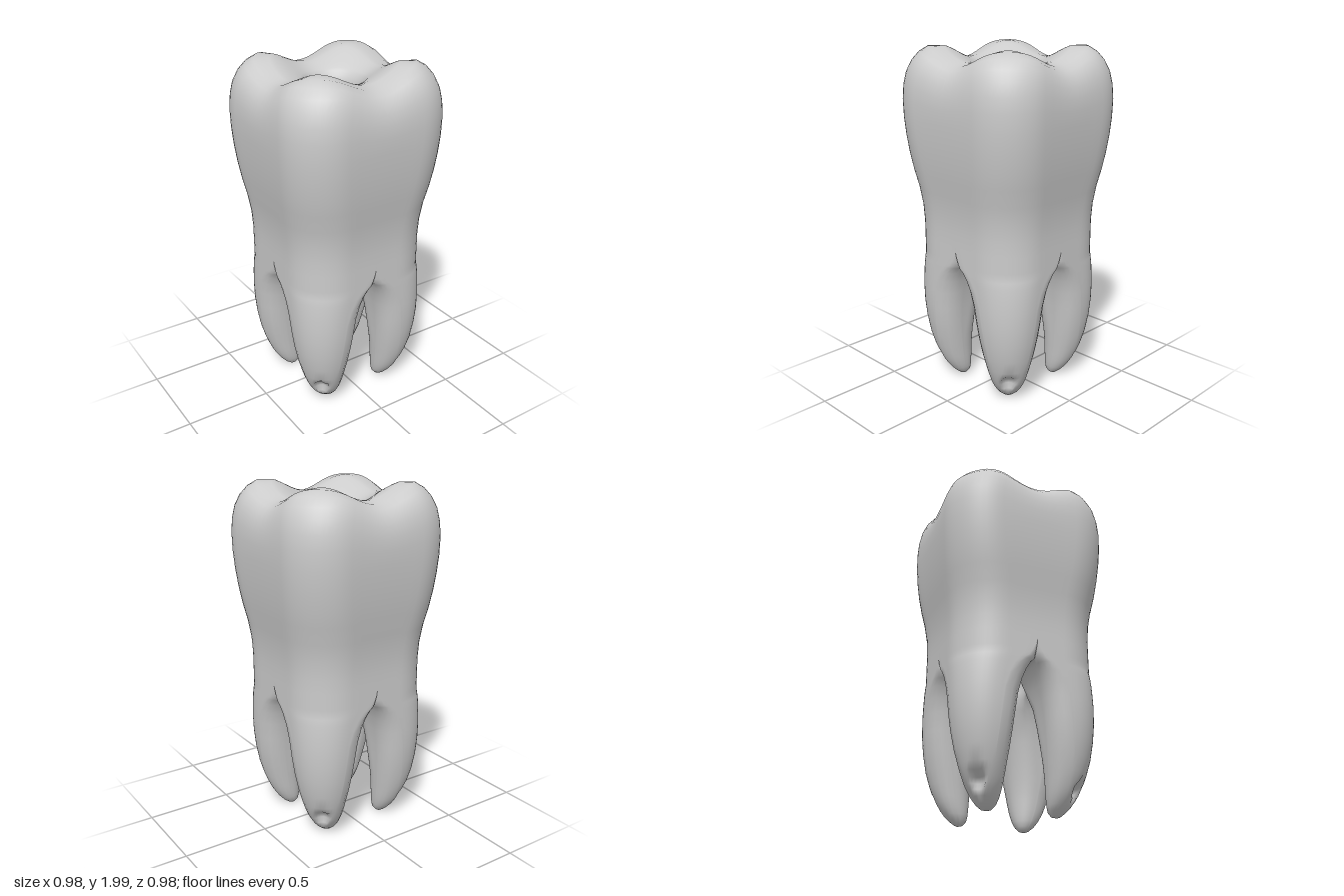
import * as THREE from 'three';
import { mergeVertices } from 'three/addons/utils/BufferGeometryUtils.js';

const HOLE = 0.135, ARCH = 0.8;
const clamp = THREE.MathUtils.clamp, lerp = THREE.MathUtils.lerp;

// Sections from root tip to cusps: height, half gap between roots, half width, lip rounding
const SECTIONS = [
  [0, 0.2, 0.2, 0], [0.008, 0.17, 0.222, 0.1], [0.03, 0.152, 0.25, 0.1], [0.06, 0.143, 0.277, 0.1],
  [0.09, 0.138, 0.297, 0.1], [0.12, 0.134, 0.315, 0.1], [0.15, 0.131, 0.328, 0.1], [0.18, 0.128, 0.341, 0.1],
  [0.22, 0.124, 0.355, 0.1], [0.3, 0.115, 0.378, 0.1], [0.4, 0.105, 0.396, 0.1], [0.5, 0.094, 0.407, 0.1],
  [0.6, 0.08, 0.412, 0.1], [0.68, 0.061, 0.413, 0.09], [0.74, 0.04, 0.414, 0.075], [0.78, 0.018, 0.414, 0.06],
  [0.8, 0, 0.414, 0.05], [0.83, 0, 0.414, 0.03], [0.87, 0, 0.414, 0.008], [0.92, 0, 0.414, 0],
  [1.0, 0, 0.414, 0], [1.1, 0, 0.42, 0], [1.2, 0, 0.435, 0], [1.3, 0, 0.454, 0], [1.4, 0, 0.469, 0],
  [1.5, 0, 0.48, 0], [1.6, 0, 0.487, 0], [1.7, 0, 0.489, 0], [1.78, 0, 0.484, 0], [1.85, 0, 0.472, 0],
  [1.91, 0, 0.45, 0], [1.955, 0, 0.418, 0], [1.985, 0, 0.375, 0], [2.0, 0, 0.3, 0],
];

// Grooves crossing the chewing surface between the four cusps
const bell = (v) => 0.045 * (1 + Math.cos(Math.PI * Math.min(Math.abs(v) / 0.3, 1)));
const groove = (x, z) => bell(x) + bell(z);

// Outer outline of one quarter, from the x side round to the z side
function outerRow([y, g, b, lip]) {
  const w = b - g, R = Math.min(0.26, 0.6 * w), l = Math.min(lip, 0.4 * w);
  const pts = [];
  const arc = (cx, cz, r, from, n) => {
    for (let i = 0; i <= n; i++) {
      const a = from + (i / n) * Math.PI / 2;
      pts.push([cx + r * Math.cos(a), cz + r * Math.sin(a)]);
    }
  };
  const line = (x0, z0, x1, z1) => {
    for (const t of [0.25, 0.5, 0.75]) pts.push([lerp(x0, x1, t), lerp(z0, z1, t)]);
  };
  arc(b - l, g + l, l, -Math.PI / 2, 4);
  line(b, g + l, b, b - R);
  arc(b - R, b - R, R, 0, 12);
  line(b - R, b, g + l, b);
  arc(g + l, b - l, l, Math.PI / 2, 4);
  return pts.map(([x, z]) => {
    const weight = clamp((y - 1.6) / 0.4, 0, 1);
    // Small pit on the outer corner near each root tip
    const d = Math.hypot((x - 0.28) / 0.05, (y - 0.15) / 0.075, (z - 0.28) / 0.05);
    const dent = 0.04 * Math.max(0, 1 - d * d);
    return new THREE.Vector3(x - dent, y - weight * groove(x, z), z - dent);
  });
}

const TOP = outerRow(SECTIONS[SECTIONS.length - 1]);
const ANGLES = TOP.map((p) => Math.atan2(p.z, p.x));

// Inner outline: the hole wall, turning into the inward corner of a root
function innerRow([y, g, b]) {
  const w = b - g, rc = Math.min(0.13, 0.5 * w), k = clamp((y - 0.62) / 0.18, 0, 1);
  return ANGLES.map((a) => new THREE.Vector3(
    lerp(g + rc * (1 - Math.sin(a)), Math.max(HOLE * Math.cos(a), g), k),
    y,
    lerp(g + rc * (1 - Math.cos(a)), Math.max(HOLE * Math.sin(a), g), k)));
}

function createQuarter(out) {
  const strip = (rows) => {
    for (let i = 0; i < rows.length - 1; i++) {
      for (let j = 0; j < rows[i].length - 1; j++) {
        const a = rows[i][j], b = rows[i + 1][j], c = rows[i][j + 1], d = rows[i + 1][j + 1];
        for (const tri of [[a, b, c], [b, d, c]]) {
          const area = new THREE.Triangle(...tri).getArea();
          if (area > 1e-8) for (const p of tri) out.push(p.x, p.y, p.z);
        }
      }
    }
  };
  const outer = SECTIONS.map(outerRow), inner = SECTIONS.map(innerRow);

  // Chewing surface closing in on the hole, then the rounded rim
  const ring = (r, drop) => ANGLES.map((a) => {
    const x = r * Math.cos(a), z = r * Math.sin(a);
    return new THREE.Vector3(x, 2 - groove(x, z) - drop, z);
  });
  const rim = ring(0.18, 0);
  const cap = [0.2, 0.4, 0.6, 0.8].map((t) => TOP.map((p, j) => {
    const q = p.clone().lerp(rim[j], t);
    return q.setY(2 - groove(q.x, q.z));
  }));
  const roll = [[0.167, 0.006], [0.153, 0.02], [0.142, 0.04], [0.136, 0.07]].map(([r, d]) => ring(r, d));
  const wall = inner.filter((_, i) => SECTIONS[i][0] <= 1.7).reverse();
  strip([...outer, ...cap, rim, ...roll, ...wall]);

  // Flat root sides facing the neighbouring roots, up to the arch
  const last = ANGLES.length - 1, steps = [0, 0.25, 0.5, 0.75, 1];
  const low = SECTIONS.map((_, i) => i).filter((i) => SECTIONS[i][0] <= ARCH);
  strip(low.map((i) => steps.map((t) => inner[i][0].clone().lerp(outer[i][0], t))));
  strip(low.map((i) => steps.map((t) => outer[i][last].clone().lerp(inner[i][last], t))));
}

export function createModel() {
  const quarter = [];
  createQuarter(quarter);

  // Four quarters turned about the vertical axis and welded together
  const all = [];
  for (let k = 0; k < 4; k++) {
    const c = [1, 0, -1, 0][k], s = [0, 1, 0, -1][k];
    for (let i = 0; i < quarter.length; i += 3) {
      const [x, y, z] = quarter.slice(i, i + 3);
      all.push(c * x + s * z, y, c * z - s * x);
    }
  }
  let geometry = new THREE.BufferGeometry();
  geometry.setAttribute('position', new THREE.Float32BufferAttribute(all, 3));
  geometry = mergeVertices(geometry, 1e-4);
  geometry.computeVertexNormals();

  const tooth = new THREE.Mesh(geometry, new THREE.MeshStandardMaterial({ color: 0xcccccc }));
  tooth.name = 'tooth';
  const group = new THREE.Group();
  group.name = 'molar';
  group.add(tooth);
  return group;
}
